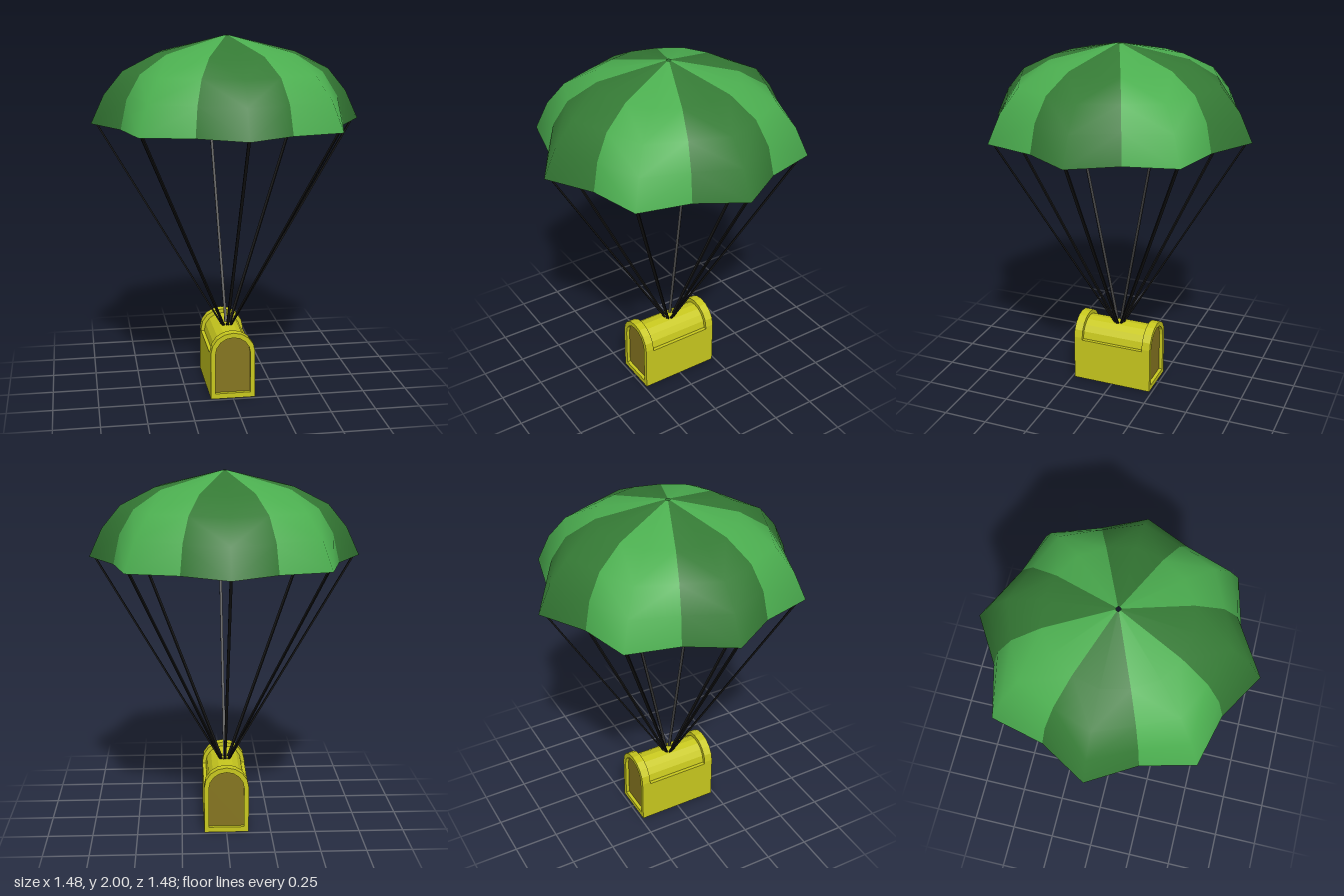
import * as THREE from 'three';

const paint = (color) => new THREE.MeshStandardMaterial({ color, side: THREE.DoubleSide });
const lightGreen = paint(0x4caf50);
const darkGreen = paint(0x357a35);
const yellow = paint(0xc8c81e);
const brown = paint(0x857520);
const black = paint(0x141414);

// Canopy rings, apex to rim: [height, radius along a rib, radius along a seam]
const RINGS = [
  [2, 0.012, 0.012],
  [1.91, 0.378, 0.37],
  [1.815, 0.565, 0.525],
  [1.69, 0.668, 0.605],
  [1.535, 0.74, 0.642],
];

function add(parent, name, geometry, material) {
  const mesh = new THREE.Mesh(geometry, material);
  mesh.name = name;
  parent.add(mesh);
  return mesh;
}

// One 45 degree gore: seam, rib, seam across; apex to rim down
function goreGeometry() {
  const positions = [];
  const index = [];
  RINGS.forEach(([y, rib, seam], row) => {
    for (let col = 0; col < 3; col++) {
      const angle = (col - 1) * Math.PI / 8;
      const r = col === 1 ? rib : seam;
      positions.push(r * Math.sin(angle), y, r * Math.cos(angle));
      if (row > 0 && col > 0) {
        const d = row * 3 + col, c = d - 1, b = d - 3, a = b - 1;
        // mirrored diagonals on the two halves
        if (col === 1) index.push(a, c, d, a, d, b);
        else index.push(a, c, b, b, c, d);
      }
    }
  });
  const geometry = new THREE.BufferGeometry();
  geometry.setAttribute('position', new THREE.Float32BufferAttribute(positions, 3));
  geometry.setIndex(index);
  geometry.computeVertexNormals();
  return geometry;
}

// Round-topped outline with straight sides
function archPoints(halfWidth, bottom, spring, top) {
  const points = [new THREE.Vector2(-halfWidth, bottom), new THREE.Vector2(halfWidth, bottom)];
  for (let i = 0; i <= 8; i++) {
    const a = i * Math.PI / 8;
    points.push(new THREE.Vector2(halfWidth * Math.cos(a), spring + (top - spring) * Math.sin(a)));
  }
  return points;
}

// Extrusion centred on z = 0
function slab(shape, depth) {
  return new THREE.ExtrudeGeometry(shape, { depth, bevelEnabled: false }).translate(0, 0, -depth / 2);
}

export function createModel() {
  const model = new THREE.Group();
  model.name = 'parachuteCrate';

  // Canopy: eight gores in alternating greens
  const canopy = new THREE.Group();
  canopy.name = 'canopy';
  model.add(canopy);
  const gore = goreGeometry();
  for (let i = 0; i < 8; i++) {
    add(canopy, 'canopyPanel', gore, i % 2 ? lightGreen : darkGreen).rotation.y = i * Math.PI / 4;
  }

  // Ropes: flat straps from each rib tip to the crate roof
  const ropes = new THREE.Group();
  ropes.name = 'ropes';
  model.add(ropes);
  const low = new THREE.Vector2(0.028, 0.355);
  const high = new THREE.Vector2(0.715, 1.545);
  const run = high.clone().sub(low);
  const strap = new THREE.BoxGeometry(0.015, run.length(), 0.009);
  strap.rotateX(Math.atan2(run.x, run.y));
  strap.translate(0, (low.y + high.y) / 2, (low.x + high.x) / 2);
  for (let i = 0; i < 8; i++) add(ropes, 'rope', strap, black).rotation.y = i * Math.PI / 4;

  // Crate: box body with an inset rounded roof
  const crate = new THREE.Group();
  crate.name = 'crate';
  model.add(crate);
  add(crate, 'crateBody', new THREE.BoxGeometry(0.25, 0.255, 0.37).translate(0, 0.1275, 0), yellow);
  const roof = new THREE.Shape(archPoints(0.105, 0.2, 0.26, 0.362));
  add(crate, 'crateRoof', slab(roof, 0.37), yellow);

  // Arched end frames with recessed panels
  const frame = new THREE.Shape(archPoints(0.125, 0, 0.268, 0.385));
  const opening = archPoints(0.099, 0.03, 0.262, 0.358);
  frame.holes.push(new THREE.Path(opening));
  const frameGeometry = slab(frame, 0.05);
  const panelGeometry = slab(new THREE.Shape(opening), 0.03);
  for (const side of [1, -1]) {
    add(crate, 'endFrame', frameGeometry, yellow).position.z = side * 0.21;
    add(crate, 'endPanel', panelGeometry, brown).position.z = side * 0.2;
  }
  return model;
}
